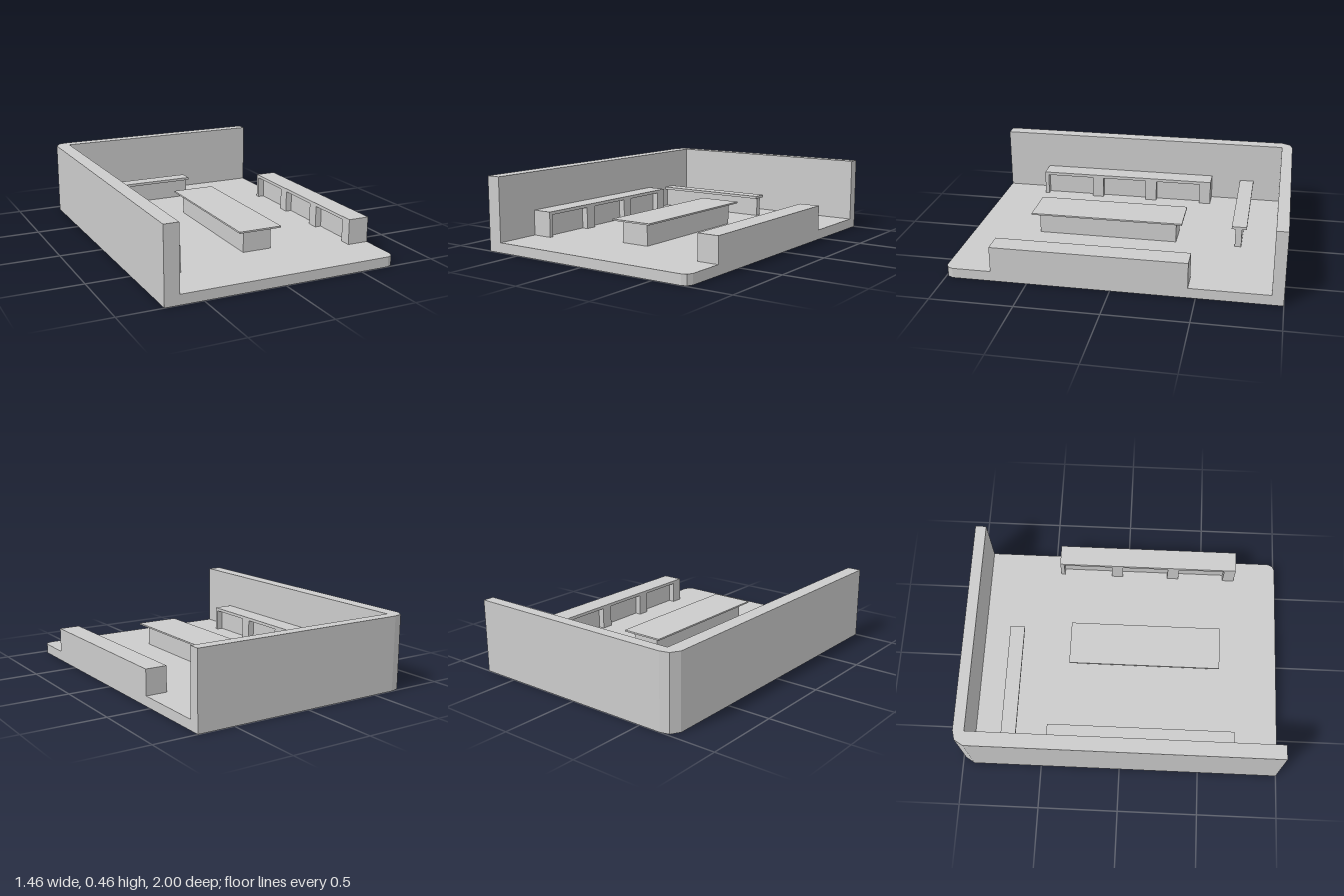
import * as THREE from 'three';

const material = new THREE.MeshStandardMaterial({ color: 0xcccccc, flatShading: true });

// Box given by its extents on each axis
function box(name, [x0, x1], [y0, y1], [z0, z1]) {
  const mesh = new THREE.Mesh(new THREE.BoxGeometry(x1 - x0, y1 - y0, z1 - z0), material);
  mesh.position.set((x0 + x1) / 2, (y0 + y1) / 2, (z0 + z1) / 2);
  mesh.name = name;
  return mesh;
}

// Vertical prism over an outline of [x, z] points
function prism(name, outline, y0, y1) {
  const shape = new THREE.Shape(outline.map(([x, z]) => new THREE.Vector2(x, z)));
  const geometry = new THREE.ExtrudeGeometry(shape, { depth: y1 - y0, bevelEnabled: false });
  geometry.rotateX(Math.PI / 2).translate(0, y1, 0);
  const mesh = new THREE.Mesh(geometry, material);
  mesh.name = name;
  return mesh;
}

const FLOOR = 0.062, WALL = 0.46;

// Shelf bench against a wall at x = 0, opening towards +x, centred on z
function sideCounter(name, depth) {
  const group = new THREE.Group();
  group.name = name;
  const half = 0.587, top = 0.22, under = 0.2, recess = depth - 0.04;
  group.add(box('counterTop', [0, depth], [under, top], [-half, half]));
  group.add(box('backPanel', [0, recess], [FLOOR, under], [-half, half]));
  group.add(box('endPanel', [recess, depth], [FLOOR, under], [half - 0.025, half]));
  for (let i = 0; i < 3; i++) {
    const z = -half + i * 0.377;
    group.add(box('post', [recess, depth], [FLOOR, under], [z, z + 0.075]));
  }
  return group;
}

export function createModel() {
  const model = new THREE.Group();
  model.name = 'room';

  // Floor and the two walls, with faceted outer corners
  const backCorner = [[-0.73, -0.93], [-0.697, -0.985], [-0.64, -1]];
  const frontCorner = [[0.73, 0.955], [0.715, 0.987], [0.685, 1]];
  model.add(prism('floor', [...backCorner, [0.73, -1], ...frontCorner, [-0.73, 1]], 0, FLOOR));
  model.add(prism('walls', [...backCorner, [0.73, -1], [0.73, -0.93], [-0.64, -0.93],
    [-0.64, 1], [-0.73, 1]], FLOOR, WALL));

  // Facing counters along both long sides
  const wallCounter = sideCounter('wallCounter', 0.13);
  wallCounter.position.set(-0.64, 0, 0.125);
  const openCounter = sideCounter('openCounter', 0.135);
  openCounter.position.set(0.73, 0, 0.132);
  openCounter.rotation.y = Math.PI;
  model.add(wallCounter, openCounter);

  // Narrow bar near the back wall
  const bar = new THREE.Group();
  bar.name = 'bar';
  bar.add(box('barTop', [-0.64, 0.145], [0.183, 0.2], [-0.75, -0.657]));
  bar.add(box('barPanel', [-0.64, 0.137], [FLOOR, 0.183], [-0.72, -0.68]));
  model.add(bar);

  // Central table on a solid base
  const table = new THREE.Group();
  table.name = 'table';
  table.add(box('tableTop', [-0.093, 0.183], [0.198, 0.208], [-0.35, 0.615]));
  table.add(box('tableBase', [-0.047, 0.137], [FLOOR, 0.198], [-0.31, 0.572]));
  model.add(table);

  return model;
}
